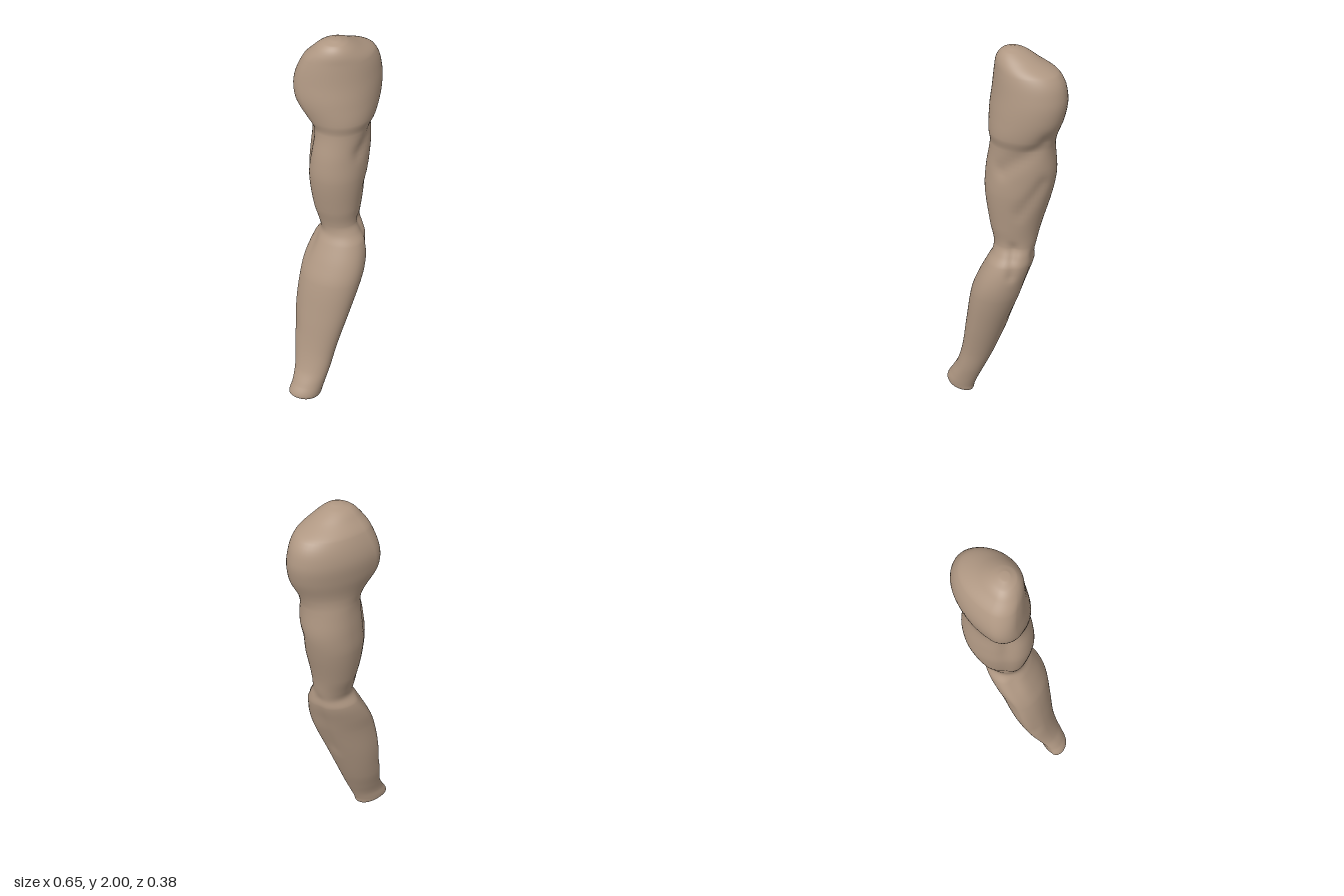
import * as THREE from 'three';

const SEGMENTS = 64, STEPS = 6;

// Outline: height, x min, x max, z min, z max
const OUTLINE = [
  [2.0, 0.03, 0.07, -0.02, 0.02],
  [1.985, -0.01, 0.115, -0.065, 0.055],
  [1.95, -0.04, 0.185, -0.105, 0.09],
  [1.9, -0.06, 0.285, -0.15, 0.12],
  [1.8, -0.08, 0.325, -0.185, 0.14],
  [1.7, -0.088, 0.315, -0.178, 0.15],
  [1.6, -0.07, 0.278, -0.145, 0.15],
  [1.54, -0.057, 0.264, -0.137, 0.135],
  [1.4, -0.08, 0.267, -0.15, 0.135],
  [1.28, -0.086, 0.245, -0.152, 0.137],
  [1.1, -0.06, 0.197, -0.12, 0.12],
  [1.0, -0.035, 0.18, -0.085, 0.11],
  [0.95, -0.035, 0.18, -0.075, 0.13],
  [0.9, -0.06, 0.178, -0.1, 0.16],
  [0.8, -0.11, 0.15, -0.115, 0.185],
  [0.7, -0.15, 0.12, -0.113, 0.187],
  [0.5, -0.19, 0.04, -0.108, 0.16],
  [0.3, -0.225, -0.04, -0.08, 0.128],
  [0.18, -0.258, -0.093, -0.052, 0.118],
  [0.1, -0.3, -0.13, -0.037, 0.11],
  [0.04, -0.327, -0.155, -0.038, 0.104],
  [0.01, -0.315, -0.163, -0.03, 0.096],
  [0.0, -0.29, -0.175, -0.012, 0.08],
];

// Skew: height, then where the front, back, left and right extremes lie (0 to 1)
const SKEW = [
  [2.0, 0.5, 0.4, 0.5, 0.45],
  [1.9, 0.55, 0.25, 0.58, 0.3],
  [1.7, 0.55, 0.22, 0.6, 0.28],
  [1.5, 0.45, 0.55, 0.5, 0.5],
  [1.0, 0.45, 0.5, 0.5, 0.45],
  [0.75, 0.5, 0.25, 0.58, 0.4],
  [0.3, 0.5, 0.25, 0.62, 0.35],
  [0.0, 0.55, 0.2, 0.65, 0.35],
];

// Furrows between muscles: start, end, width, depth
const FURROWS = [
  [[0.06, 1.43, 0.13], [0.26, 1.6, 0.07], 0.04, 0.013],
  [[0.15, 1.2, 0.12], [0.25, 1.37, 0.06], 0.035, 0.01],
  [[-0.04, 1.55, -0.1], [0.01, 1.08, -0.08], 0.04, 0.016],
  [[0.11, 1.0, 0.1], [0.115, 0.86, 0.14], 0.025, 0.012],
  [[0.17, 0.95, 0.02], [0.07, 0.55, 0.03], 0.035, 0.012],
  [[-0.04, 0.9, -0.07], [-0.17, 0.4, -0.06], 0.035, 0.01],
].map(([a, b, width, depth]) => ({
  line: new THREE.Line3(new THREE.Vector3(...a), new THREE.Vector3(...b)), width, depth,
}));

// Smooth interpolation of table rows by height
function sample(table, y) {
  let i = 0;
  while (i < table.length - 2 && y < table[i + 1][0]) i++;
  const p = table[i], q = table[i + 1], h = q[0] - p[0], t = (y - p[0]) / h;
  const before = table[Math.max(i - 1, 0)], after = table[Math.min(i + 2, table.length - 1)];
  return p.slice(1).map((v, k) => {
    const c = k + 1;
    const m0 = h * (q[c] - before[c]) / (q[0] - before[0]);
    const m1 = h * (after[c] - p[c]) / (after[0] - p[0]);
    const t2 = t * t, t3 = t2 * t;
    return (2 * t3 - 3 * t2 + 1) * v + (t3 - 2 * t2 + t) * m0 + (3 * t2 - 2 * t3) * q[c] + (t3 - t2) * m1;
  });
}

// One cross-section made of four quarter ellipses
function ring(y) {
  const [x0, x1, z0, z1] = sample(OUTLINE, y);
  const [front, back, left, right] = sample(SKEW, y);
  const lerp = THREE.MathUtils.lerp;
  const xF = lerp(x0, x1, front), xB = lerp(x0, x1, back);
  const zL = lerp(z0, z1, left), zR = lerp(z0, z1, right);
  const middle = new THREE.Vector3((x0 + x1) / 2, y, (z0 + z1) / 2);
  const near = new THREE.Vector3();
  const points = [];
  for (let j = 0; j < SEGMENTS; j++) {
    const a = j / SEGMENTS * Math.PI * 2, c = Math.cos(a), s = Math.sin(a);
    const cx = s >= 0 ? xF : xB, cz = c >= 0 ? zL : zR;
    const p = new THREE.Vector3(
      cx + c * (c >= 0 ? x1 - cx : cx - x0), y,
      cz + s * (s >= 0 ? z1 - cz : cz - z0));
    const inward = middle.clone().sub(p).normalize();
    let push = 0;
    for (const f of FURROWS) {
      f.line.closestPointToPoint(p, true, near);
      push += f.depth * Math.exp(-near.distanceToSquared(p) / (f.width * f.width));
    }
    p.addScaledVector(inward, push);
    // Slanted wrist end
    p.y += 0.02 * (x1 - p.x) / (x1 - x0) * Math.max(0, 1 - y / 0.1);
    points.push(p);
  }
  return points;
}

function armGeometry() {
  const rings = [];
  for (let i = 0; i < OUTLINE.length - 1; i++) {
    for (let k = 0; k < STEPS; k++) {
      rings.push(ring(THREE.MathUtils.lerp(OUTLINE[i][0], OUTLINE[i + 1][0], k / STEPS)));
    }
  }
  rings.push(ring(0));
  const centre = r => r.reduce((sum, p) => sum.add(p), new THREE.Vector3()).divideScalar(SEGMENTS);
  const points = [...rings.flat(), centre(rings[0]), centre(rings[rings.length - 1])];
  const top = points.length - 2, bottom = points.length - 1, last = (rings.length - 1) * SEGMENTS;
  const index = [];
  for (let j = 0; j < SEGMENTS; j++) {
    const n = (j + 1) % SEGMENTS;
    for (let i = 0; i < last; i += SEGMENTS) {
      const a = i + j, b = i + n, c = a + SEGMENTS, d = b + SEGMENTS;
      index.push(a, b, c, b, d, c);
    }
    index.push(top, n, j, bottom, last + j, last + n);
  }
  const geometry = new THREE.BufferGeometry().setFromPoints(points);
  geometry.setIndex(index);
  geometry.computeVertexNormals();
  return geometry;
}

export function createModel() {
  const skin = new THREE.MeshStandardMaterial({ color: 0xb09883 });
  skin.name = 'skin';
  const arm = new THREE.Mesh(armGeometry(), skin);
  arm.name = 'arm';
  const model = new THREE.Group();
  model.name = 'muscularArm';
  model.add(arm);
  return model;
}
